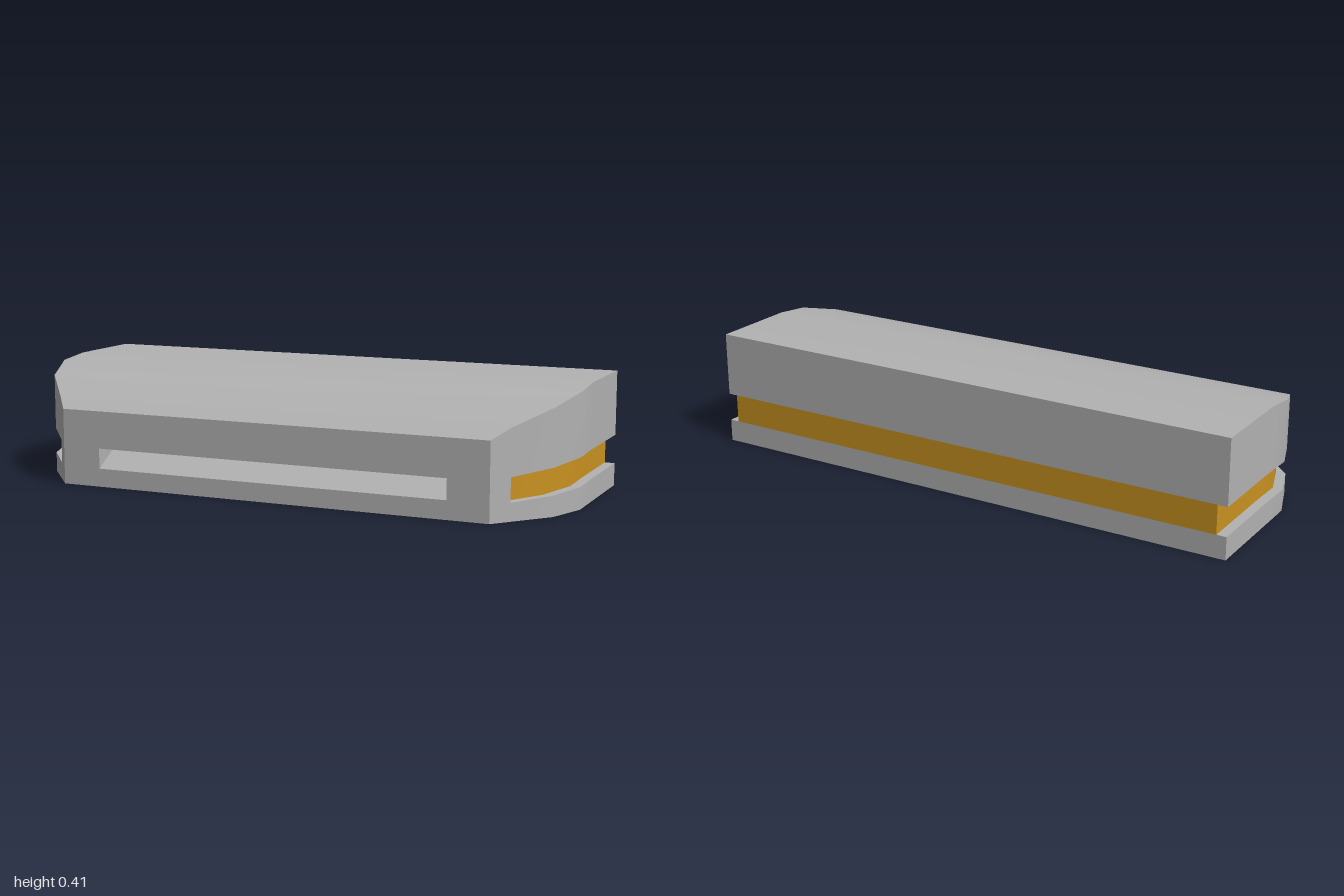
import * as THREE from 'three';
import { toCreasedNormals } from 'three/addons/utils/BufferGeometryUtils.js';

// Stations from front to back: z, half width, roof height, groove bottom, groove top
const STATIONS = [
  [0.39, 0.795, 0.27, 0.058, 0.135],
  [0.33, 0.845, 0.306, 0.062, 0.145],
  [0.205, 0.95, 0.36, 0.071, 0.163],
  [0.06, 1, 0.397, 0.077, 0.177],
  [-0.07, 1, 0.411, 0.08, 0.182],
  [-0.39, 1, 0.411, 0.08, 0.182],
].map(([z, w, top, lo, hi]) => ({ z, w, top, lo, hi }));
const INSET = 0.035;

// Collects quads, corners counter-clockwise seen from outside
function surface() {
  const pos = [];
  const quad = (a, b, c, d) => pos.push(...a, ...b, ...c, ...a, ...c, ...d);
  const flip = ([x, y, z]) => [-x, y, z];
  return {
    quad,
    // a quad on the left and its mirror image on the right
    pair(a, b, c, d) {
      quad(a, b, c, d);
      quad(flip(d), flip(c), flip(b), flip(a));
    },
    // a quad spanning the width between two half-width points
    span(a, b) {
      quad(flip(a), a, b, flip(b));
    },
    build() {
      const g = new THREE.BufferGeometry();
      g.setAttribute('position', new THREE.Float32BufferAttribute(pos, 3));
      return toCreasedNormals(g, 0.6);
    },
  };
}

export function createModel() {
  const grey = new THREE.MeshStandardMaterial({ color: 0xb2b2b2 });
  grey.name = 'grey shell';
  const amber = new THREE.MeshStandardMaterial({ color: 0xc99220 });
  amber.name = 'amber band';
  const shell = surface();
  const band = surface();

  STATIONS.slice(1).forEach((q, i) => {
    const p = STATIONS[i];
    const wall = (s, y0, y1, in0 = 0) => s.pair(
      [p.w - in0, p[y0] ?? 0, p.z], [q.w - in0, q[y0] ?? 0, q.z],
      [q.w - in0, q[y1], q.z], [p.w - in0, p[y1], p.z]);

    // roof, underside and side walls
    shell.span([p.w, p.top, p.z], [q.w, q.top, q.z]);
    shell.span([q.w, 0, q.z], [p.w, 0, p.z]);
    wall(shell, 'floor', 'lo');
    wall(shell, 'hi', 'top');
    if (i === 0) {
      wall(shell, 'lo', 'hi');
      return;
    }
    // groove ledges and the amber band inside
    shell.pair([p.w - INSET, p.lo, p.z], [p.w, p.lo, p.z],
      [q.w, q.lo, q.z], [q.w - INSET, q.lo, q.z]);
    shell.pair([q.w - INSET, q.hi, q.z], [q.w, q.hi, q.z],
      [p.w, p.hi, p.z], [p.w - INSET, p.hi, p.z]);
    wall(band, 'lo', 'hi', INSET);
  });

  // groove end walls behind the nose
  const s = STATIONS[1];
  shell.pair([s.w, s.lo, s.z], [s.w - INSET, s.lo, s.z],
    [s.w - INSET, s.hi, s.z], [s.w, s.hi, s.z]);

  // back: two shell strips with the band flush between them
  const r = STATIONS[STATIONS.length - 1];
  shell.span([-r.w, 0, r.z], [-r.w, r.lo, r.z]);
  shell.span([-r.w, r.hi, r.z], [-r.w, r.top, r.z]);
  band.span([-(r.w - INSET), r.lo, r.z], [-(r.w - INSET), r.hi, r.z]);

  // front face framing a long slot with a sloping floor
  const f = STATIONS[0], sx = 0.65, y0 = 0.065, y1 = 0.137, depth = 0.12;
  shell.span([f.w, 0, f.z], [f.w, y0, f.z]);
  shell.span([f.w, y1, f.z], [f.w, f.top, f.z]);
  shell.pair([sx, y0, f.z], [f.w, y0, f.z], [f.w, y1, f.z], [sx, y1, f.z]);
  shell.span([sx, y0, f.z], [sx, y1, f.z - depth]);
  shell.span([sx, y1, f.z - depth], [sx, y1, f.z]);
  shell.pair([sx, y0, f.z], [sx, y1, f.z], [sx, y1, f.z - depth], [sx, y0, f.z]);

  const group = new THREE.Group();
  group.name = 'slottedHousing';
  for (const [name, s2, mat] of [['shell', shell, grey], ['recessedBand', band, amber]]) {
    const mesh = new THREE.Mesh(s2.build(), mat);
    mesh.name = name;
    group.add(mesh);
  }
  return group;
}
